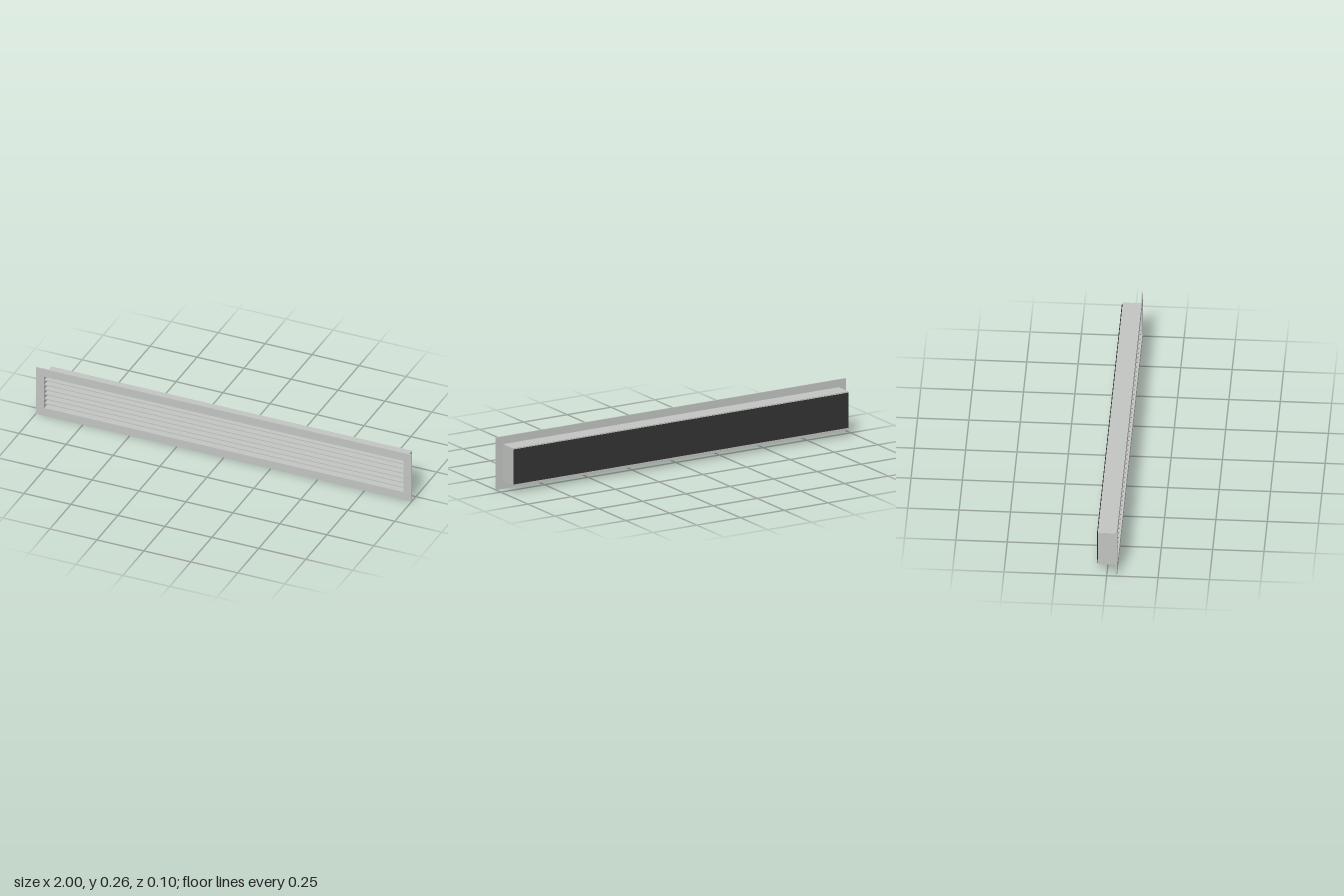
import * as THREE from 'three';

const material = (name, color) => {
  const m = new THREE.MeshStandardMaterial({ color });
  m.name = name;
  return m;
};

// Rectangular frame with a rectangular opening, extruded along z
function frameGeometry(w, h, innerW, innerH, depth) {
  const rect = (Type, a, b) => {
    const p = new Type();
    p.moveTo(-a / 2, -b / 2);
    p.lineTo(a / 2, -b / 2);
    p.lineTo(a / 2, b / 2);
    p.lineTo(-a / 2, b / 2);
    p.closePath();
    return p;
  };
  const shape = rect(THREE.Shape, w, h);
  shape.holes.push(rect(THREE.Path, innerW, innerH));
  return new THREE.ExtrudeGeometry(shape, { depth, bevelEnabled: false });
}

export function createModel() {
  const group = new THREE.Group();
  group.name = 'ventGrille';
  const metal = material('light grey metal', 0xc2c4c2);
  const dark = material('dark backing', 0x333333);

  const midY = 0.1325;
  const innerW = 1.912, innerH = 0.178;

  const add = (name, geometry, mat, y, z) => {
    const mesh = new THREE.Mesh(geometry, mat);
    mesh.name = name;
    mesh.position.set(0, y, z);
    group.add(mesh);
  };

  // Front flange and the duct collar behind it
  add('flange', frameGeometry(2, 0.265, innerW, innerH, 0.006), metal, midY, 0.044);
  add('collar', frameGeometry(1.92, 0.187, innerW, innerH, 0.09), metal, midY, -0.046);

  // Horizontal blades, evenly spaced in the opening
  const blades = 6, pitch = 0.0265;
  for (let i = 0; i < blades; i++) {
    const y = midY + (i - (blades - 1) / 2) * pitch;
    add('blade' + (i + 1), new THREE.BoxGeometry(innerW, 0.005, 0.08), metal, y, 0.004);
  }

  // Thin dark sheet closing the back
  add('backPanel', new THREE.BoxGeometry(1.912, 0.177, 0.002), dark, midY, -0.049);

  return group;
}
